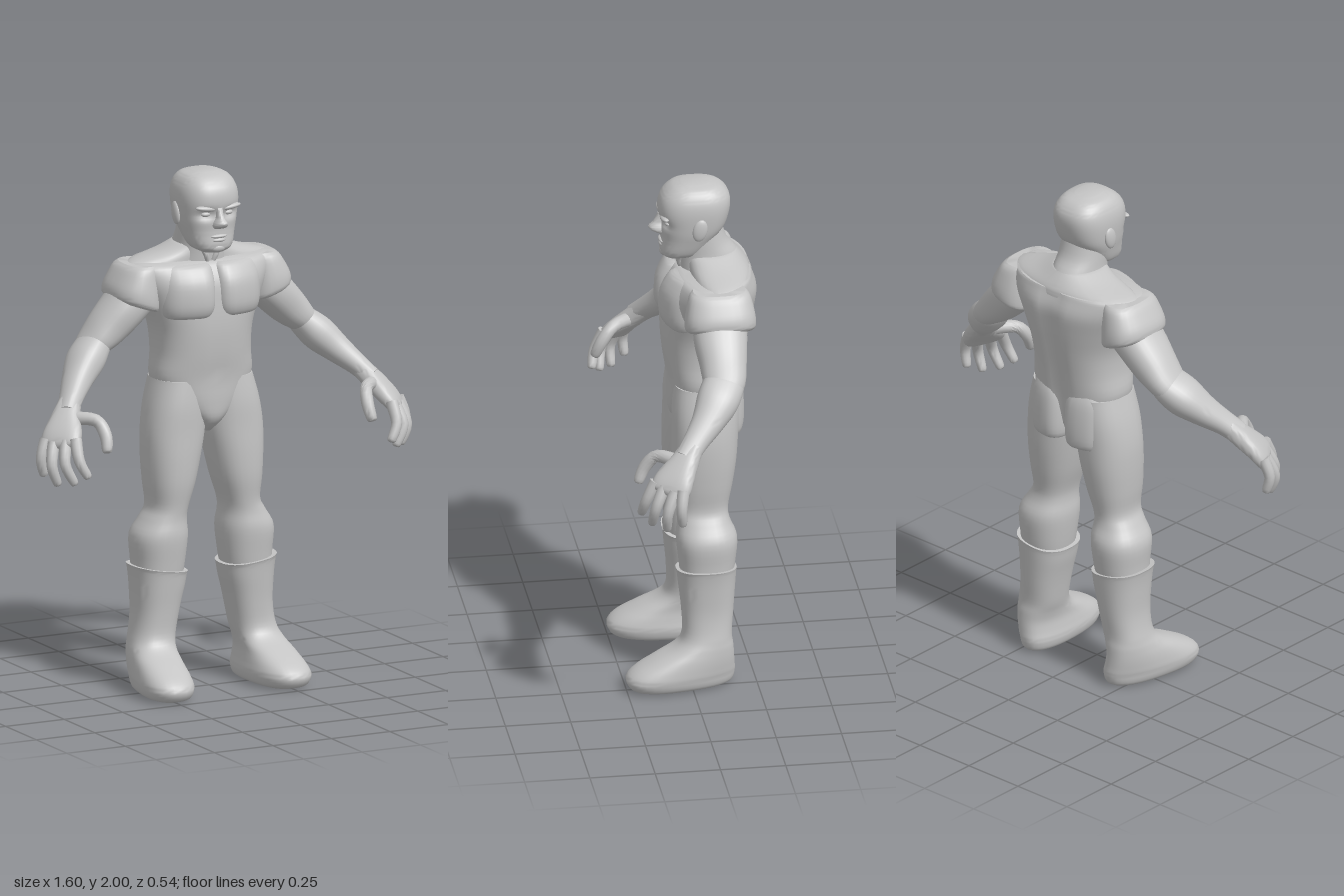
import * as THREE from 'three';
import { toCreasedNormals } from 'three/addons/utils/BufferGeometryUtils.js';

const skin = new THREE.MeshStandardMaterial({ color: 0xc4c4c4 });
skin.name = 'clay grey';

const bump = (d, w) => Math.exp(-(d * d) / (w * w));
const clamp01 = v => Math.min(1, Math.max(0, v));

// Lofts superellipse sections [x, y, z, side radius, front radius, back radius].
// Sections lie flat, or square to the path when follow is set.
function loft(name, rows, { s = 1, n = 28, sub = 4, e = 2.3, follow = false, twist = 0, shape, crease = 0.8 } = {}) {
  const keys = rows.map(r => [r[0] * s, r[1], r[2], r[3], r[4] ?? r[3], r[5] ?? r[4] ?? r[3]]);
  const at = i => keys[Math.min(keys.length - 1, Math.max(0, i))];
  const secs = [];
  for (let i = 0; i < keys.length - 1; i++) {
    for (let k = 0; k < sub; k++) {
      const t = k / sub;
      secs.push(keys[i].map((b, c) => {
        const a = at(i - 1)[c], d = at(i + 1)[c], f = at(i + 2)[c];
        return b + 0.5 * t * (d - a + t * (2 * a - 5 * b + 4 * d - f + t * (3 * (b - d) + f - a)));
      }));
    }
  }
  secs.push(keys[keys.length - 1]);

  const pos = [], idx = [], p = new THREE.Vector3();
  const centre = r => new THREE.Vector3(r[0], r[1], r[2]);
  secs.forEach((r, i) => {
    const t = new THREE.Vector3(0, 1, 0);
    if (follow) t.subVectors(centre(secs[Math.min(i + 1, secs.length - 1)]), centre(secs[Math.max(i - 1, 0)])).normalize();
    const u = new THREE.Vector3(0, 0, 1).cross(t).normalize();
    u.applyAxisAngle(t, twist * s);
    const v = new THREE.Vector3().crossVectors(t, u);
    for (let j = 0; j < n; j++) {
      const a = j / n * Math.PI * 2, c = Math.cos(a), q = Math.sin(a);
      const cu = Math.sign(c) * Math.abs(c) ** (2 / e) * r[3];
      const cv = Math.sign(q) * Math.abs(q) ** (2 / e) * (q > 0 ? r[4] : r[5]);
      p.copy(centre(r)).addScaledVector(u, cu).addScaledVector(v, cv);
      if (shape) shape(p);
      pos.push(p.x, p.y, p.z);
    }
  });
  const last = secs.length - 1;
  for (let i = 0; i < last; i++) for (let j = 0; j < n; j++) {
    const a = i * n + j, b = i * n + (j + 1) % n;
    idx.push(a, b, b + n, a, b + n, a + n);
  }
  // closed ends
  for (const i of [0, last]) {
    const c = pos.length / 3, m = [0, 0, 0];
    for (let j = 0; j < n; j++) for (let k = 0; k < 3; k++) m[k] += pos[(i * n + j) * 3 + k] / n;
    pos.push(...m);
    for (let j = 0; j < n; j++) {
      const a = i * n + j, b = i * n + (j + 1) % n;
      if (i === 0) idx.push(c, b, a); else idx.push(c, a, b);
    }
  }
  const g = new THREE.BufferGeometry();
  g.setAttribute('position', new THREE.Float32BufferAttribute(pos, 3));
  g.setIndex(idx);
  return mesh(name, toCreasedNormals(g, crease));
}

function mesh(name, geometry) {
  const m = new THREE.Mesh(geometry, skin);
  m.name = name;
  return m;
}

function ball(name, x, y, z, rx, ry, rz, tilt = 0) {
  const m = mesh(name, new THREE.SphereGeometry(1, 20, 14));
  m.position.set(x, y, z);
  m.scale.set(rx, ry, rz);
  m.rotation.z = tilt;
  return m;
}

function buildHead() {
  const head = new THREE.Group();
  head.name = 'head';
  head.add(loft('skull', [
    [0, 1.697, 0.02, 0.045, 0.045, 0.06], [0, 1.72, 0, 0.08, 0.085, 0.07], [0, 1.78, -0.03, 0.101, 0.112, 0.09],
    [0, 1.83, -0.04, 0.112, 0.126, 0.12], [0, 1.9, -0.04, 0.117, 0.133, 0.14], [0, 1.95, -0.04, 0.108, 0.12, 0.136],
    [0, 1.985, -0.04, 0.084, 0.085, 0.105], [0, 2, -0.04, 0.045, 0.045, 0.06],
  ], { n: 48, sub: 6, e: 2.6, shape: p => {
    // eye sockets
    if (p.z > 0) p.z -= 0.022 * bump(Math.abs(p.x) - 0.05, 0.032) * bump(p.y - 1.848, 0.018);
  } }));
  head.add(loft('nose', [[0, 1.795, 0.085, 0.022, 0.012], [0, 1.805, 0.085, 0.028, 0.035],
    [0, 1.82, 0.085, 0.024, 0.045], [0, 1.84, 0.085, 0.014, 0.026], [0, 1.875, 0.08, 0.013, 0.014]], { n: 16 }));
  head.add(ball('upperLip', 0, 1.763, 0.078, 0.036, 0.008, 0.014), ball('lowerLip', 0, 1.748, 0.077, 0.03, 0.009, 0.014));
  head.add(ball('chin', 0, 1.717, 0.066, 0.035, 0.02, 0.022));
  for (const s of [-1, 1]) {
    head.add(ball('brow', s * 0.05, 1.873, 0.074, 0.046, 0.011, 0.018, s * 0.12));
    head.add(ball('eye', s * 0.047, 1.849, 0.062, 0.02, 0.01, 0.013));
    const ear = ball('ear', s * 0.115, 1.84, -0.052, 0.013, 0.045, 0.028);
    ear.rotation.x = -0.2;
    head.add(ear);
  }
  return head;
}

function buildTorso() {
  const torso = new THREE.Group();
  torso.name = 'torso';
  torso.add(loft('trunk', [
    [0, 0.99, -0.07, 0.02, 0.07, 0.08], [0, 1.04, -0.07, 0.07, 0.118, 0.12], [0, 1.11, -0.07, 0.15, 0.128, 0.135],
    [0, 1.2, -0.07, 0.2, 0.13, 0.145], [0, 1.3, -0.07, 0.193, 0.145, 0.162], [0, 1.4, -0.07, 0.2, 0.153, 0.182],
    [0, 1.5, -0.07, 0.235, 0.15, 0.2], [0, 1.58, -0.07, 0.27, 0.14, 0.208], [0, 1.64, -0.07, 0.29, 0.108, 0.19],
    [0, 1.655, -0.08, 0.27, 0.09, 0.175],
  ], { n: 48, e: 2.4, shape: p => {
    // spine groove and belly line
    if (p.z < -0.12) p.z += 0.018 * bump(p.x, 0.03);
    else if (p.z > 0 && p.y > 1.2) p.z -= 0.004 * bump(p.x, 0.015);
  } }));
  torso.add(loft('trapezius', [[0, 1.63, -0.1, 0.31, 0.09, 0.155], [0, 1.655, -0.1, 0.28, 0.085, 0.15],
    [0, 1.685, -0.1, 0.17, 0.09, 0.13], [0, 1.715, -0.09, 0.095, 0.085, 0.115]], { e: 2 }));
  torso.add(loft('neck', [[0, 1.62, -0.09, 0.11, 0.1, 0.15], [0, 1.7, -0.09, 0.094, 0.105, 0.125],
    [0, 1.76, -0.08, 0.09, 0.1, 0.09], [0, 1.84, -0.07, 0.086, 0.09, 0.075]], { e: 2.1 }));
  for (const s of [-1, 1]) {
    torso.add(loft('pectoral', [[0.108, 1.443, 0, 0.07, 0.07, 0.04], [0.108, 1.455, 0, 0.093, 0.092, 0.05],
      [0.108, 1.5, 0, 0.104, 0.106, 0.05], [0.108, 1.58, 0, 0.104, 0.1, 0.05],
      [0.108, 1.635, 0, 0.1, 0.068, 0.05], [0.108, 1.65, 0, 0.088, 0.045, 0.04]],
    { s, e: 3.6, shape: p => { p.z -= 1.2 * p.x * p.x; } }));
    torso.add(loft('buttock', [[0.094, 0.985, -0.12, 0.06, 0.03, 0.075], [0.094, 1, -0.12, 0.083, 0.04, 0.105],
      [0.094, 1.08, -0.12, 0.09, 0.04, 0.112], [0.094, 1.18, -0.12, 0.086, 0.04, 0.104], [0.094, 1.24, -0.12, 0.06, 0.03, 0.08]],
    { s, e: 3, shape: p => { p.z += p.x * p.x; } }));
    torso.add(loft('neckCord', [[0.012, 1.655, 0.01, 0.009], [0.03, 1.7, 0.014, 0.011], [0.07, 1.78, -0.03, 0.012]],
      { s, n: 10, follow: true }));
  }
  return torso;
}

function buildArm(s) {
  const arm = new THREE.Group();
  arm.name = s > 0 ? 'leftArm' : 'rightArm';
  arm.add(loft('upperArm', [[0.21, 1.57, -0.11, 0.06, 0.09], [0.26, 1.54, -0.105, 0.085, 0.1], [0.32, 1.48, -0.1, 0.08, 0.102],
    [0.39, 1.41, -0.1, 0.072, 0.09], [0.45, 1.355, -0.095, 0.054, 0.08], [0.49, 1.315, -0.075, 0.045, 0.06]], { s, follow: true }));
  arm.add(loft('forearm', [[0.435, 1.365, -0.1, 0.05, 0.074], [0.455, 1.345, -0.09, 0.058, 0.08], [0.5, 1.3, -0.06, 0.066, 0.08],
    [0.555, 1.245, -0.015, 0.054, 0.062], [0.61, 1.19, 0.04, 0.041, 0.048], [0.65, 1.145, 0.08, 0.037, 0.045]], { s, follow: true }));
  // band around the top of the arm
  arm.add(loft('shoulderPad', [[0.28, 1.525, -0.105, 0.085, 0.12], [0.282, 1.54, -0.105, 0.092, 0.134],
    [0.277, 1.58, -0.105, 0.088, 0.134], [0.262, 1.635, -0.105, 0.07, 0.118], [0.25, 1.652, -0.105, 0.06, 0.1]],
  { s, e: 2.5, crease: 0.5, shape: p => { p.y += (Math.abs(p.x) - 0.37) * 0.35 * clamp01((1.65 - p.y) / 0.1); } }));

  const hand = new THREE.Group();
  hand.name = 'hand';
  hand.add(loft('palm', [[0.62, 1.18, 0.05, 0.035, 0.042], [0.655, 1.135, 0.085, 0.038, 0.055], [0.695, 1.08, 0.13, 0.034, 0.078],
    [0.715, 1.045, 0.152, 0.028, 0.078], [0.72, 1.03, 0.16, 0.015, 0.06]], { s, e: 2.6, follow: true, twist: 0.5 }));
  const digits = {
    indexFinger: [[0.675, 1.07, 0.2], [0.678, 0.995, 0.236], [0.65, 0.935, 0.25]],
    middleFinger: [[0.70, 1.06, 0.17], [0.722, 0.98, 0.205], [0.69, 0.908, 0.215]],
    ringFinger: [[0.735, 1.05, 0.135], [0.758, 0.97, 0.165], [0.735, 0.9, 0.165]],
    littleFinger: [[0.752, 1.06, 0.105], [0.777, 0.99, 0.115], [0.765, 0.928, 0.11]],
    thumb: [[0.64, 1.13, 0.11], [0.578, 1.13, 0.18], [0.56, 1.08, 0.225], [0.566, 1.025, 0.25]],
  };
  for (const [name, pts] of Object.entries(digits)) {
    const r = name === 'thumb' ? 0.024 : 0.021;
    const rows = pts.map((q, i) => [...q, i ? r * (i === pts.length - 1 ? 0.8 : 1) : r * 1.15]);
    const [a, b] = pts.slice(-2);
    rows.push([...b.map((v, k) => v + (v - a[k]) * 0.15), r * 0.3]);
    hand.add(loft(name, rows, { s, n: 12, follow: true, e: 2 }));
  }
  arm.add(hand);
  return arm;
}

function buildLeg(s) {
  const leg = new THREE.Group();
  leg.name = s > 0 ? 'leftLeg' : 'rightLeg';
  leg.add(loft('legBody', [
    [0.19, 0.44, -0.065, 0.095, 0.1, 0.1], [0.186, 0.5, -0.065, 0.1, 0.106, 0.11], [0.183, 0.595, -0.065, 0.107, 0.115, 0.117],
    [0.168, 0.66, -0.065, 0.086, 0.107, 0.092], [0.153, 0.71, -0.062, 0.076, 0.105, 0.09], [0.143, 0.8, -0.06, 0.094, 0.115, 0.11],
    [0.134, 0.9, -0.06, 0.109, 0.118, 0.126], [0.124, 1, -0.06, 0.118, 0.116, 0.134],
    [0.114, 1.1, -0.065, 0.113, 0.12, 0.135], [0.1, 1.2, -0.07, 0.1, 0.115, 0.13],
  ], { s }));
  // boot with a narrower heel and a slanted top
  leg.add(loft('boot', [
    [0.25, 0, 0.03, 0.075, 0.17, 0.165], [0.25, 0.014, 0.03, 0.102, 0.208, 0.19], [0.251, 0.05, 0.03, 0.114, 0.222, 0.2],
    [0.25, 0.085, 0.03, 0.108, 0.19, 0.198], [0.245, 0.125, 0.01, 0.098, 0.135, 0.175], [0.232, 0.165, -0.03, 0.09, 0.095, 0.132],
    [0.215, 0.21, -0.06, 0.085, 0.092, 0.097], [0.2, 0.3, -0.065, 0.087, 0.097, 0.1], [0.191, 0.4, -0.065, 0.1, 0.107, 0.108],
    [0.19, 0.455, -0.065, 0.108, 0.113, 0.112], [0.19, 0.47, -0.065, 0.112, 0.117, 0.114],
  ], { s, n: 36, e: 2.4, crease: 0.7, shape: p => {
    const k = clamp01((0.2 - p.y) / 0.15) * (1 - clamp01((p.z + 0.17) / 0.38));
    const c = 0.25 * s;
    p.x = c + (p.x - c) * (1 - 0.28 * k) - s * 0.04 * k;
    p.y += (Math.abs(p.x) - 0.19) * 0.14 * clamp01((p.y - 0.35) / 0.1);
  } }));
  return leg;
}

export function createModel() {
  const model = new THREE.Group();
  model.name = 'standingFigure';
  model.add(buildHead(), buildTorso());
  for (const s of [-1, 1]) model.add(buildArm(s), buildLeg(s));
  return model;
}
